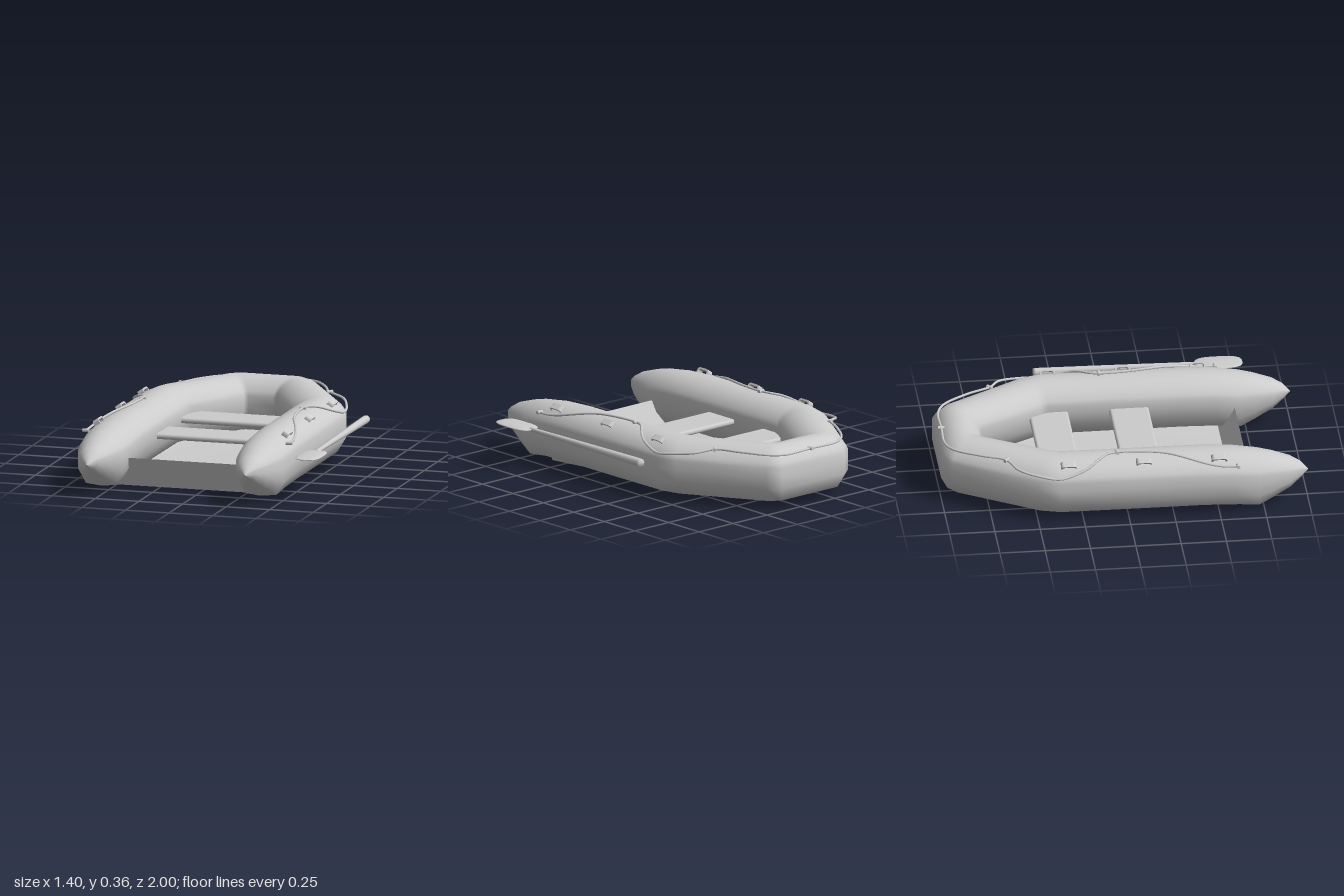
import * as THREE from 'three';
import { RoundedBoxGeometry } from 'three/addons/geometries/RoundedBoxGeometry.js';

const grey = new THREE.MeshStandardMaterial({ color: 0xcccccc });
const sheet = new THREE.MeshStandardMaterial({ color: 0xcccccc, side: THREE.DoubleSide });

function add(parent, name, geometry, x = 0, y = 0, z = 0, material = grey) {
  const mesh = new THREE.Mesh(geometry, material);
  mesh.name = name;
  mesh.position.set(x, y, z);
  parent.add(mesh);
  return mesh;
}

// Skin over rows of points; closed rows join their last point to the first
function loft(rows, closed) {
  const n = rows[0].length, index = [];
  for (let i = 0; i < rows.length - 1; i++) {
    for (let j = 0; j < (closed ? n : n - 1); j++) {
      const a = i * n + j, b = i * n + (j + 1) % n;
      index.push(a, a + n, b, b, a + n, b + n);
    }
  }
  const geometry = new THREE.BufferGeometry();
  geometry.setAttribute('position', new THREE.Float32BufferAttribute(rows.flat(2), 3));
  geometry.setIndex(index);
  geometry.computeVertexNormals();
  return geometry;
}

// Tube section: round above, boxier below. x = 1 is outboard, y = 1 is the top.
function tubeProfile() {
  const points = [];
  for (let a = 20; a <= 160; a += 10) {
    const t = a * Math.PI / 180;
    points.push([Math.cos(t) / Math.cos(Math.PI / 9), Math.sin(t)]);
  }
  points.push([-1, 0], [-0.93, -0.45], [-0.62, -0.95], [0, -1.02], [0.7, -0.95], [1, -0.45], [1, 0]);
  return points;
}

function tubeGeometry() {
  // Ribs of one side: inner x, inner z, outer x, outer z, bottom, top
  const centre = 0.453;
  const half = [
    [1, 0.002, 0.18, 0.184], [0.96, 0.042, 0.15, 0.228], [0.9, 0.08, 0.105, 0.262],
    [0.8, 0.114, 0.055, 0.295], [0.72, 0.134, 0.016, 0.315], [0.58, 0.149, 0.034, 0.334],
    [0.4, 0.154, 0.04, 0.343], [0, 0.154, 0.04, 0.345],
  ].map(([z, r, low, high]) => [centre - r, z, centre + r, z, low, high]);
  half.push(
    [0.296, -0.35, 0.604, -0.38, 0.04, 0.345],
    [0.28, -0.39, 0.571, -0.5, 0.04, 0.345],
    [0.09, -0.735, 0.3, -0.945, 0.04, 0.345],
    [0.07, -0.754, 0.23, -1, 0.04, 0.345],
  );
  const mirrored = half.slice().reverse().map(([a, b, c, d, e, f]) => [-a, b, -c, d, e, f]);
  const profile = tubeProfile();
  const rows = [...half, ...mirrored].map(([xi, zi, xo, zo, low, high]) => profile.map(([px, py]) => {
    const s = (px + 1) / 2;
    return [xi + (xo - xi) * s, low + (high - low) * (py + 1) / 2, zi + (zo - zi) * s];
  }));
  return loft(rows, true);
}

// Floor rising to the bow, with side flaps that meet the tube
function floorGeometry() {
  const rows = [
    // z, floor half width, floor y, flap half width, flap y
    [0.6, 0.49, 0, 0.4975, 0.02], [-0.38, 0.325, 0.026, 0.45, 0.05], [-0.86, 0.24, 0.04, 0.27, 0.055],
  ];
  return loft(rows.map(([z, w, y, fw, fy]) => [[fw, fy, z], [w, y, z], [-w, y, z], [-fw, fy, z]]), false);
}

// Carrying strap: an arch running along z
function handleGeometry() {
  const s = new THREE.Shape();
  s.moveTo(-0.043, -0.015);
  s.lineTo(-0.043, 0.008);
  s.quadraticCurveTo(-0.043, 0.028, -0.023, 0.028);
  s.lineTo(0.023, 0.028);
  s.quadraticCurveTo(0.043, 0.028, 0.043, 0.008);
  s.lineTo(0.043, -0.015);
  s.lineTo(0.033, -0.015);
  s.lineTo(0.033, 0.006);
  s.quadraticCurveTo(0.033, 0.018, 0.021, 0.018);
  s.lineTo(-0.021, 0.018);
  s.quadraticCurveTo(-0.033, 0.018, -0.033, 0.006);
  s.lineTo(-0.033, -0.015);
  s.closePath();
  const geometry = new THREE.ExtrudeGeometry(s, { depth: 0.036, bevelEnabled: false, curveSegments: 6 });
  geometry.translate(0, 0, -0.018);
  geometry.rotateY(Math.PI / 2);
  return geometry;
}

function addOar(parent) {
  const oar = new THREE.Group();
  oar.name = 'oar';
  oar.position.set(0.72, 0.238, 0);
  parent.add(oar);
  // Shaft narrows from the grip to the blade
  const shaft = new THREE.LatheGeometry([
    [0, -0.39], [0.021, -0.388], [0.023, -0.375], [0.02, -0.1], [0.012, 0.45], [0.011, 0.52], [0, 0.54],
  ].map(([r, z]) => new THREE.Vector2(r, z)), 16);
  shaft.rotateX(Math.PI / 2);
  add(oar, 'oarShaft', shaft);
  // Blade: a sphere squared off in plan and flattened
  const blade = new THREE.SphereGeometry(1, 40, 20);
  const p = blade.attributes.position;
  const square = (v) => Math.sign(v) * Math.abs(v) ** 0.65;
  for (let i = 0; i < p.count; i++) {
    const x = p.getX(i), z = p.getZ(i);
    const r = Math.hypot(x, z) || 1;
    p.setXYZ(i, square(x / r) * r * 0.07, p.getY(i) * 0.012, square(z / r) * r * 0.133);
  }
  blade.computeVertexNormals();
  add(oar, 'oarBlade', blade, 0, 0, 0.634);
}

// Height of the grab line where it lies on the straight tube
const lineHeight = (x) => 0.199 + 0.152 * Math.sqrt(1 - ((x - 0.453) / 0.165) ** 2);

function addGrabLine(parent) {
  const aft = [
    [0.584, 0.6], [0.583, 0.53], [0.572, 0.45], [0.55, 0.37], [0.52, 0.29], [0.49, 0.21], [0.468, 0.1],
    [0.46, -0.055], [0.475, -0.11], [0.52, -0.165], [0.56, -0.22], [0.584, -0.29],
  ].map(([x, z]) => [x, lineHeight(x), z]);
  const half = [
    ...aft, [0.597, 0.272, -0.38], [0.575, 0.284, -0.49], [0.52, 0.302, -0.6], [0.425, 0.318, -0.66],
    [0.36, 0.318, -0.79], [0.265, 0.312, -0.93], [0.18, 0.308, -0.972],
  ];
  const path = [...half, [0, 0.31, -0.974], ...half.slice().reverse().map(([x, y, z]) => [-x, y, z])];
  const curve = new THREE.CatmullRomCurve3(path.map((p) => new THREE.Vector3(...p)));
  add(parent, 'grabLine', new THREE.TubeGeometry(curve, 240, 0.007, 8));

  // Clips lie across the line
  const up = new THREE.Vector3(0, 1, 0);
  const clip = new THREE.CylinderGeometry(0.01, 0.01, 0.036, 12);
  const last = path.length - 1;
  for (const i of [0, 7, 15, 19, last - 15, last - 7, last]) {
    const across = curve.getTangent(i / last).cross(up).normalize();
    add(parent, 'lineClip', clip, ...path[i]).quaternion.setFromUnitVectors(up, across);
  }
}

export function createModel() {
  const model = new THREE.Group();
  model.name = 'inflatableBoat';
  const boat = new THREE.Group();
  boat.name = 'boat';
  boat.position.x = -0.095;
  model.add(boat);

  add(boat, 'buoyancyTube', tubeGeometry());
  add(boat, 'floor', floorGeometry(), 0, 0, 0, sheet);

  // Raked transom
  const transom = [[[-0.42, 0.17, 0.68], [0.42, 0.17, 0.68]], [[-0.49, 0, 0.6], [0.49, 0, 0.6]]];
  add(boat, 'transom', loft(transom, false), 0, 0, 0, sheet);

  // Bench seats
  for (const z of [-0.35, 0.095]) {
    add(boat, 'seat', new RoundedBoxGeometry(0.64, 0.032, 0.218, 4, 0.015), 0, 0.195, z);
  }

  // Grab handles
  const handle = handleGeometry();
  for (const side of [1, -1]) {
    for (const z of [-0.33, 0.085, 0.5]) {
      add(boat, 'handle', handle, side * 0.535, 0.316, z).rotation.z = -side * 0.6;
    }
  }

  addGrabLine(boat);
  addOar(boat);
  return model;
}
